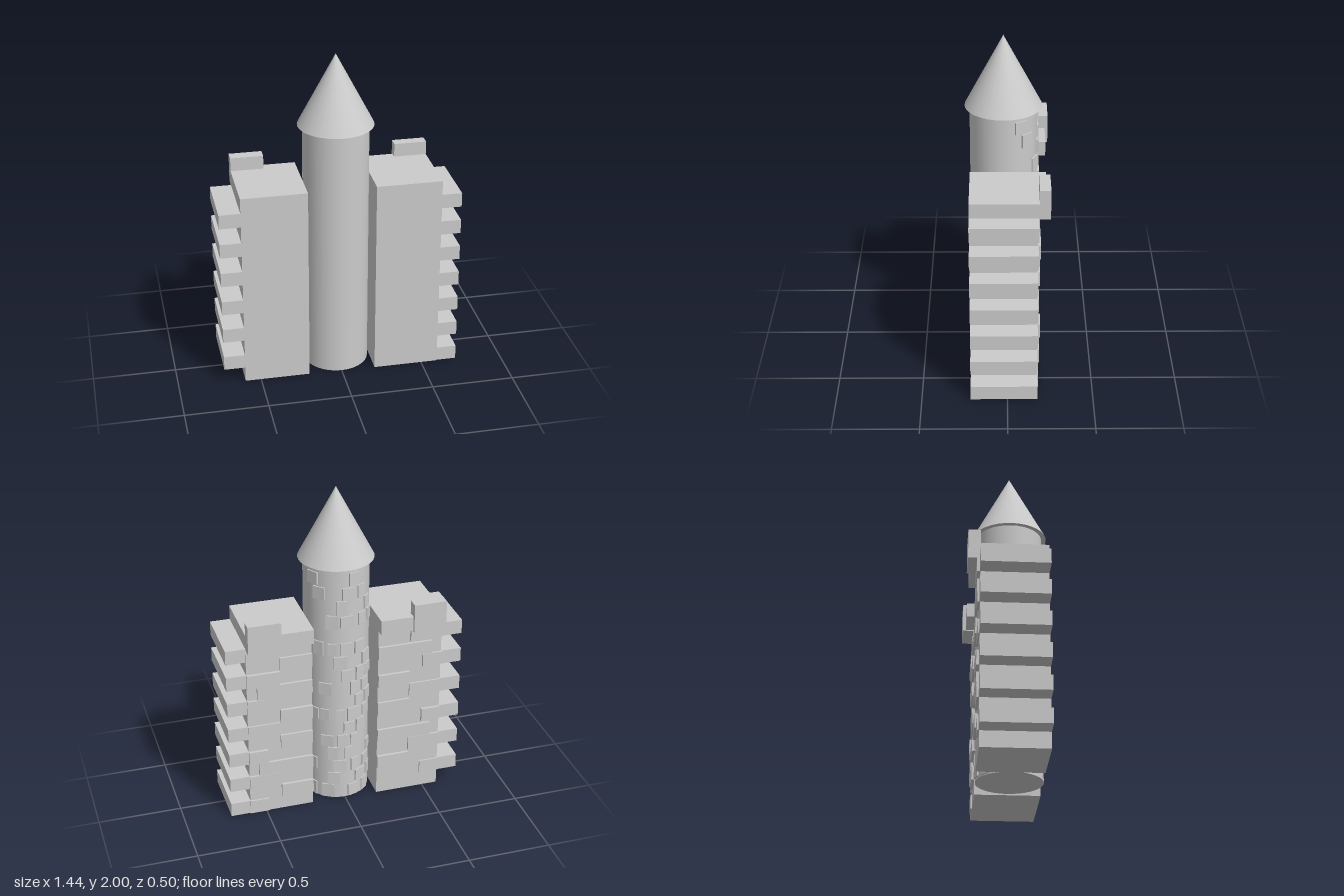
import * as THREE from 'three';

const material = new THREE.MeshStandardMaterial({ color: 0xcccccc });

function add(parent, name, geometry) {
  const mesh = new THREE.Mesh(geometry, material);
  mesh.name = name;
  parent.add(mesh);
  return mesh;
}

// Box given by its minimum and maximum corners
function block(parent, name, x0, x1, y0, y1, z0, z1) {
  const a = Math.min(x0, x1), b = Math.max(x0, x1);
  const mesh = add(parent, name, new THREE.BoxGeometry(b - a, y1 - y0, z1 - z0));
  mesh.position.set((a + b) / 2, (y0 + y1) / 2, (z0 + z1) / 2);
  return mesh;
}

function seeded(seed) {
  return () => {
    seed = (seed * 16807) % 2147483647;
    return seed / 2147483647;
  };
}

// Wall with toothed outer edge, raised rear bricks and a rear parapet
function makeWing({ name, side, inner, outer, tip, back, front, teeth, firstTooth, pitch, top, parapetBack }) {
  const wing = new THREE.Group();
  wing.name = name;
  const X = (v) => v * side;
  const middle = (inner + outer) / 2;
  block(wing, 'wall', X(inner), X(outer), 0.005, top, back, front);

  for (let i = 0; i < teeth; i++) {
    const y = firstTooth + i * pitch;
    block(wing, 'tooth', X(outer - 0.05), X(tip), y, y + 0.088, back - 0.003, front);
    // Thin brick faces: outer ones level with the teeth, inner ones between
    const depth = 0.01 + 0.004 * (i % 3);
    const reach = i % 2 ? middle : middle + 0.08;
    block(wing, 'outerBrick', X(reach), X(outer), y, y + 0.088, back - depth, back + 0.02);
    if (i < teeth - 1) {
      const end = i % 3 === 1 ? outer - 0.06 : middle;
      block(wing, 'innerBrick', X(inner), X(end), y + 0.09, y + 0.175, back - 0.022 + depth / 2, back + 0.02);
    }
  }

  // Overhanging top course with one battlement on its outer half
  block(wing, 'topCourse', X(inner), X(outer), top - 0.09, top, parapetBack, back + 0.02);
  block(wing, 'corbel', X(middle), X(outer), top - 0.095, top - 0.005, parapetBack - 0.018, back);
  block(wing, 'battlement', X(middle), X(outer), top - 0.005, top + 0.083, parapetBack - 0.018, -0.18);
  return wing;
}

function makeTower() {
  const tower = new THREE.Group();
  tower.name = 'tower';
  tower.position.z = 0.02;

  add(tower, 'shaft', new THREE.CylinderGeometry(0.196, 0.196, 1.56, 32)).position.y = 0.79;
  add(tower, 'roof', new THREE.ConeGeometry(0.225, 0.43, 32)).position.y = 1.785;

  // Raised stones scattered over the rear of the shaft
  const random = seeded(41);
  const rows = 17;
  for (let row = 0; row < rows; row++) {
    const shift = (row % 2) * 0.22;
    for (let k = 0; k < 5; k++) {
      const angle = Math.PI - 1.02 + k * 0.44 + shift * 0.9 + (random() - 0.5) * 0.12;
      const width = 0.05 + random() * 0.03;
      const height = 0.07 + random() * 0.022;
      if (random() < 0.42) continue;
      const stone = add(tower, 'stone', new THREE.BoxGeometry(width, height, 0.025));
      stone.position.set(Math.sin(angle) * 0.19, 0.06 + row * 0.09, Math.cos(angle) * 0.19);
      stone.rotation.y = angle;
    }
  }
  return tower;
}

export function createModel() {
  const model = new THREE.Group();
  model.name = 'castle';
  model.add(makeTower());
  model.add(makeWing({
    name: 'leftWing', side: 1, inner: 0.205, outer: 0.6, tip: 0.72, back: -0.172, front: 0.215,
    teeth: 7, firstTooth: 0.008, pitch: 0.175, top: 1.235, parapetBack: -0.225,
  }));
  model.add(makeWing({
    name: 'rightWing', side: -1, inner: 0.2, outer: 0.595, tip: 0.722, back: -0.182, front: 0.208,
    teeth: 6, firstTooth: 0.1, pitch: 0.19, top: 1.23, parapetBack: -0.233,
  }));
  return model;
}
